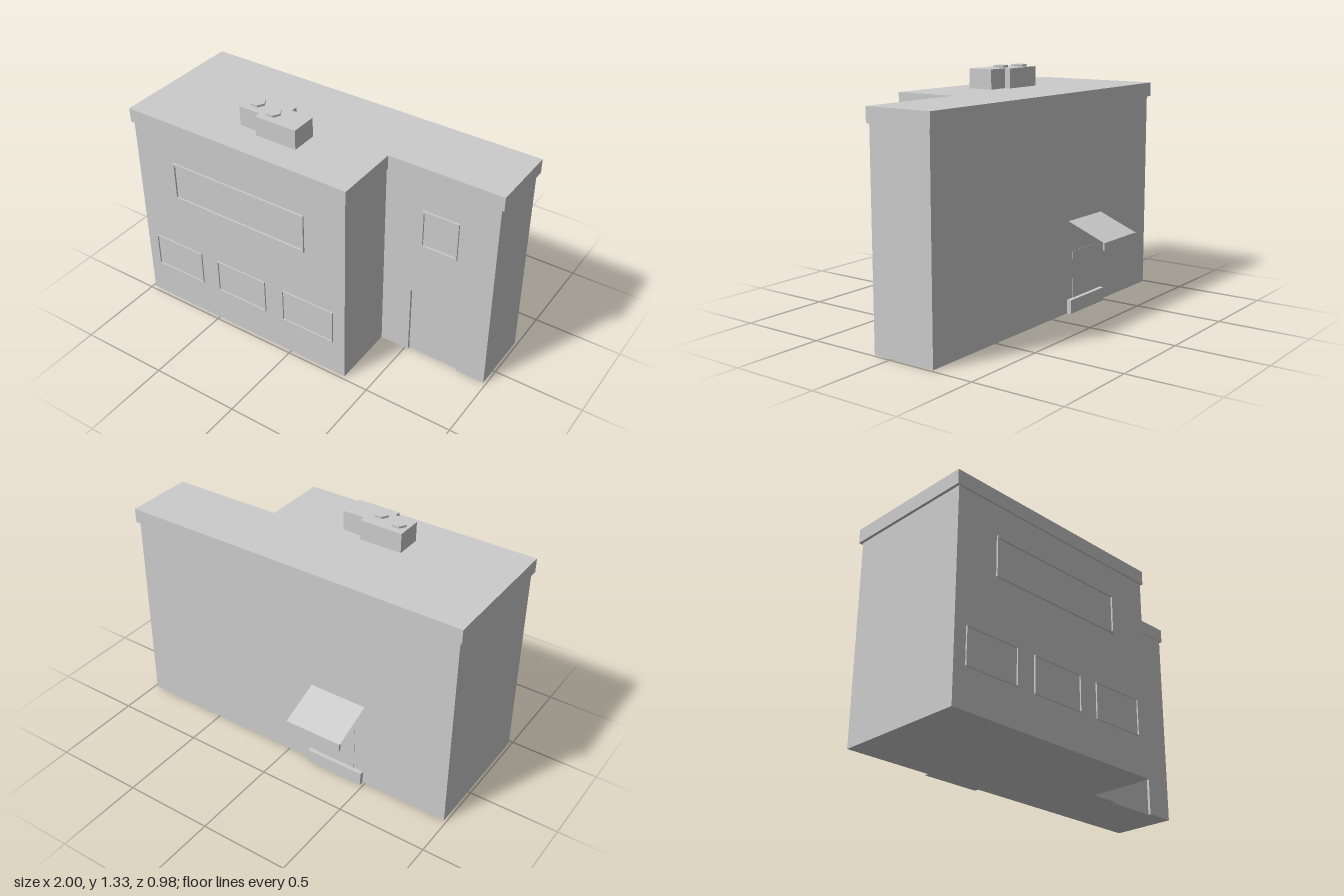
import * as THREE from 'three';

const wallGrey = new THREE.MeshStandardMaterial({ color: 0xcccccc });
wallGrey.name = 'wallGrey';
const sheetGrey = wallGrey.clone();
sheetGrey.name = 'sheetGrey';
sheetGrey.side = THREE.DoubleSide;

export function createModel() {
  const model = new THREE.Group();
  model.name = 'building';

  const add = (name, geometry, material = wallGrey) => {
    const mesh = new THREE.Mesh(geometry, material);
    mesh.name = name;
    model.add(mesh);
    return mesh;
  };

  // Upright prism over an outline of [x, z] points
  const prism = (name, points, y0, y1) => {
    const shape = new THREE.Shape(points.map(([x, z]) => new THREE.Vector2(x, -z)));
    const g = new THREE.ExtrudeGeometry(shape, { depth: y1 - y0, bevelEnabled: false });
    return add(name, g.rotateX(-Math.PI / 2).translate(0, y0, 0));
  };

  // Box given by its limits
  const block = (name, x0, x1, y0, y1, z0, z1) =>
    add(name, new THREE.BoxGeometry(x1 - x0, y1 - y0, z1 - z0)
      .translate((x0 + x1) / 2, (y0 + y1) / 2, (z0 + z1) / 2));

  const rect = (C, x0, x1, y0, y1) => new C([
    new THREE.Vector2(x0, y0), new THREE.Vector2(x1, y0),
    new THREE.Vector2(x1, y1), new THREE.Vector2(x0, y1)]);

  // Raised rim around a window, standing on the wall at depth z
  const frame = (name, x0, x1, y0, y1, z, rim, depth) => {
    const shape = rect(THREE.Shape, x0, x1, y0, y1);
    shape.holes.push(rect(THREE.Path, x0 + rim, x1 - rim, y0 + rim, y1 - rim));
    add(name, new THREE.ExtrudeGeometry(shape, { depth, bevelEnabled: false }).translate(0, 0, z));
  };

  // L-shaped walls; the wing stops short to leave room for the door recess
  prism('walls', [[-0.985, -0.26], [0.985, -0.26], [0.985, 0.095], [0.35, 0.095],
    [0.35, 0.48], [-0.985, 0.48]], 0, 1.13);

  // Wing front with the doorway cut out
  const wing = new THREE.Shape([[0.35, 0], [0.52, 0], [0.52, 0.42], [0.82, 0.42],
    [0.82, 0], [0.985, 0], [0.985, 1.13], [0.35, 1.13]].map(p => new THREE.Vector2(...p)));
  add('wingFront', new THREE.ExtrudeGeometry(wing, { depth: 0.015, bevelEnabled: false })
    .translate(0, 0, 0.095));

  // Overhanging flat roof
  prism('roof', [[-1, -0.275], [1, -0.275], [1, 0.117], [0.36, 0.117],
    [0.36, 0.49], [-1, 0.49]], 1.13, 1.21);

  // Windows
  frame('upperWindowFrame', -0.737, 0.105, 0.735, 0.96, 0.48, 0.011, 0.01);
  frame('wingWindowFrame', 0.565, 0.775, 0.735, 0.96, 0.11, 0.012, 0.01);
  [-0.915, -0.482, -0.045].forEach(x =>
    frame('lowerWindowFrame', x, x + 0.322, 0.213, 0.413, 0.48, 0.004, 0.008));

  // Rooftop unit with two hexagonal caps
  prism('roofUnit', [[-0.415, 0.145], [-0.17, 0.145], [-0.17, 0.18], [-0.045, 0.18],
    [-0.045, 0.33], [-0.29, 0.33], [-0.29, 0.295], [-0.415, 0.295]], 1.21, 1.32);
  [[-0.355, 0.22], [-0.23, 0.255]].forEach(([x, z]) => {
    const cap = new THREE.CylinderGeometry(0.043, 0.043, 0.012, 6).toNonIndexed();
    cap.computeVertexNormals();
    add('ventCap', cap.rotateY(Math.PI / 6 + Math.PI / 3).translate(x, 1.326, z));
  });

  // Back door, step and sloping canopy with a front lip
  block('backDoor', -0.427, -0.195, 0.075, 0.34, -0.262, -0.258);
  block('backStep', -0.485, -0.145, 0, 0.077, -0.285, -0.26);
  const dz = 0.225, dy = 0.09;
  add('canopy', new THREE.PlaneGeometry(0.33, Math.hypot(dz, dy))
    .rotateX(-Math.PI / 2 - Math.atan2(dy, dz))
    .translate(-0.317, 0.47, -0.3725), sheetGrey);
  block('canopyLip', -0.482, -0.152, 0.383, 0.425, -0.49, -0.48);

  return model;
}
